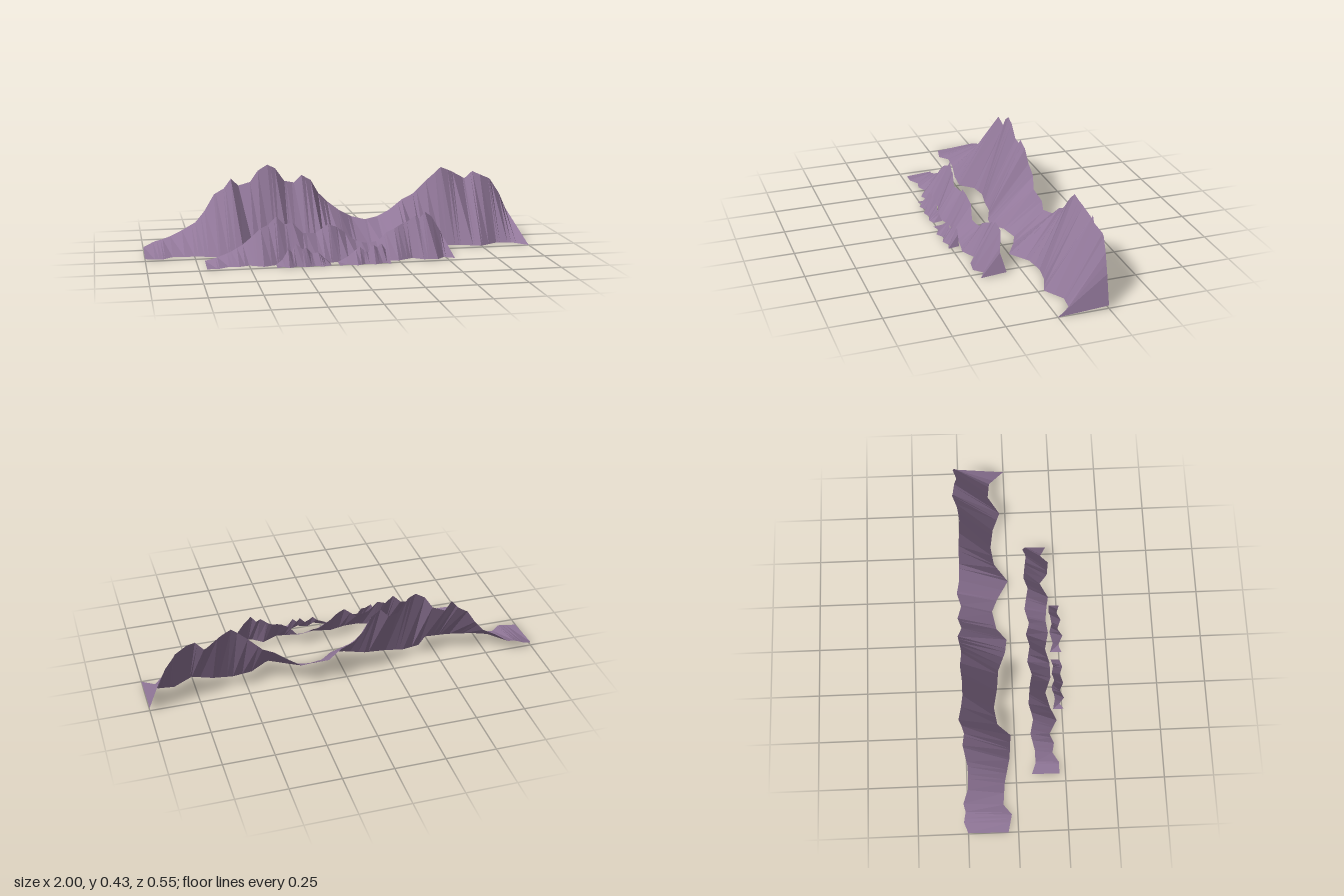
import * as THREE from 'three';

const rock = new THREE.MeshStandardMaterial({ color: 0x92789a, side: THREE.DoubleSide, flatShading: true });
rock.name = 'mauve rock';

// Linear interpolation along a list of [x, value] points
function sample(points, x) {
  for (let i = 1; i < points.length; i++) {
    const [x0, v0] = points[i - 1], [x1, v1] = points[i];
    if (x <= x1) return v0 + (v1 - v0) * Math.max(0, (x - x0) / (x1 - x0));
  }
  return points[points.length - 1][1];
}

// One sloping sheet from a jagged crest down to a wavy foot on the ground
function ridge(name, heights, crestZ, footZ) {
  const xs = [...new Set([...heights, ...crestZ, ...footZ].map(p => p[0]))].sort((a, b) => a - b);
  const positions = [], index = [];
  xs.forEach((x, i) => {
    positions.push(x, 0, sample(footZ, x), x, sample(heights, x), sample(crestZ, x));
    if (i > 0) {
      const a = 2 * (i - 1);
      index.push(a, a + 2, a + 1, a + 1, a + 2, a + 3);
    }
  });
  const geometry = new THREE.BufferGeometry();
  geometry.setAttribute('position', new THREE.Float32BufferAttribute(positions, 3));
  geometry.setIndex(index);
  geometry.computeVertexNormals();
  const mesh = new THREE.Mesh(geometry, rock);
  mesh.name = name;
  return mesh;
}

export function createModel() {
  const group = new THREE.Group();
  group.name = 'mountainRange';

  // Tall range at the back
  group.add(ridge('backRange',
    [[-1, .017], [-.93, .045], [-.86, .065], [-.8, .1], [-.73, .14], [-.68, .2], [-.63, .28], [-.58, .31],
     [-.54, .36], [-.5, .32], [-.44, .34], [-.4, .4], [-.35, .43], [-.31, .41], [-.26, .34], [-.21, .33],
     [-.17, .37], [-.12, .34], [-.08, .27], [-.03, .22], [.03, .175], [.1, .135], [.17, .12], [.24, .13],
     [.3, .165], [.37, .22], [.43, .25], [.5, .32], [.58, .39], [.64, .365], [.72, .32], [.76, .36],
     [.86, .315], [.91, .24], [.95, .15], [1, .015]],
    [[-1, -.25], [-.95, -.27], [-.9, -.26], [-.86, -.27], [-.8, -.245], [-.7, -.24], [-.62, -.26],
     [-.57, -.25], [-.5, -.275], [-.4, -.25], [-.33, -.25], [-.22, -.26], [-.17, -.25], [-.03, -.27],
     [.03, -.25], [.1, -.27], [.17, -.25], [.24, -.27], [.3, -.255], [.45, -.25], [.55, -.24], [.62, -.25],
     [.71, -.275], [.8, -.25], [.87, -.27], [1, -.25]],
    [[-1, -.05], [-.91, -.03], [-.86, -.07], [-.75, -.06], [-.62, -.03], [-.5, -.02], [-.44, -.085],
     [-.35, -.1], [-.25, -.08], [-.15, -.07], [-.05, -.03], [.02, -.02], [.08, -.07], [.18, -.09],
     [.25, -.06], [.35, 0], [.45, -.07], [.55, -.085], [.65, -.07], [.75, -.03], [.85, -.09],
     [.93, -.08], [1, 0]]));

  // Lower range in the middle
  group.add(ridge('middleRange',
    [[-.71, .01], [-.65, .03], [-.58, .055], [-.52, .085], [-.47, .13], [-.43, .165], [-.39, .18], [-.35, .22],
     [-.31, .18], [-.27, .19], [-.22, .135], [-.15, .13], [-.09, .175], [-.05, .16], [0, .125], [.05, .085],
     [.11, .07], [.17, .075], [.21, .12], [.27, .15], [.32, .17], [.36, .2], [.38, .185], [.41, .22],
     [.45, .19], [.49, .12], [.54, .01]],
    [[-.71, .08], [-.66, .1], [-.6, .1], [-.52, .08], [-.46, .095], [-.39, .075], [-.3, .085], [-.22, .1],
     [-.15, .08], [-.08, .095], [0, .08], [.08, .1], [.16, .08], [.25, .1], [.3, .08], [.4, .095],
     [.45, .08], [.5, .1], [.54, .08]],
    [[-.71, .22], [-.65, .22], [-.6, .19], [-.55, .2], [-.5, .18], [-.43, .22], [-.36, .19], [-.28, .17],
     [-.2, .2], [-.12, .2], [-.04, .18], [.05, .2], [.12, .19], [.2, .2], [.25, .21], [.33, .17],
     [.38, .21], [.45, .22], [.49, .18], [.54, .21]]));

  // Two small foothills in front
  group.add(ridge('leftFoothill',
    [[-.37, .005], [-.34, .03], [-.31, .08], [-.29, .065], [-.27, .105], [-.24, .08], [-.22, .085],
     [-.19, .055], [-.16, .06], [-.13, .03], [-.1, .005]],
    [[-.37, .205], [-.33, .215], [-.28, .2], [-.24, .215], [-.2, .205], [-.15, .215], [-.1, .205]],
    [[-.37, .26], [-.34, .24], [-.31, .265], [-.27, .245], [-.23, .265], [-.18, .25], [-.14, .265], [-.1, .25]]));
  group.add(ridge('rightFoothill',
    [[-.06, .005], [-.02, .03], [.02, .055], [.05, .08], [.07, .06], [.09, .05], [.12, .085],
     [.14, .07], [.16, .09], [.18, .06], [.2, .005]],
    [[-.06, .205], [-.02, .22], [.03, .205], [.08, .22], [.14, .205], [.2, .21]],
    [[-.06, .265], [-.02, .25], [.03, .275], [.07, .25], [.12, .27], [.16, .25], [.2, .265]]));

  return group;
}
